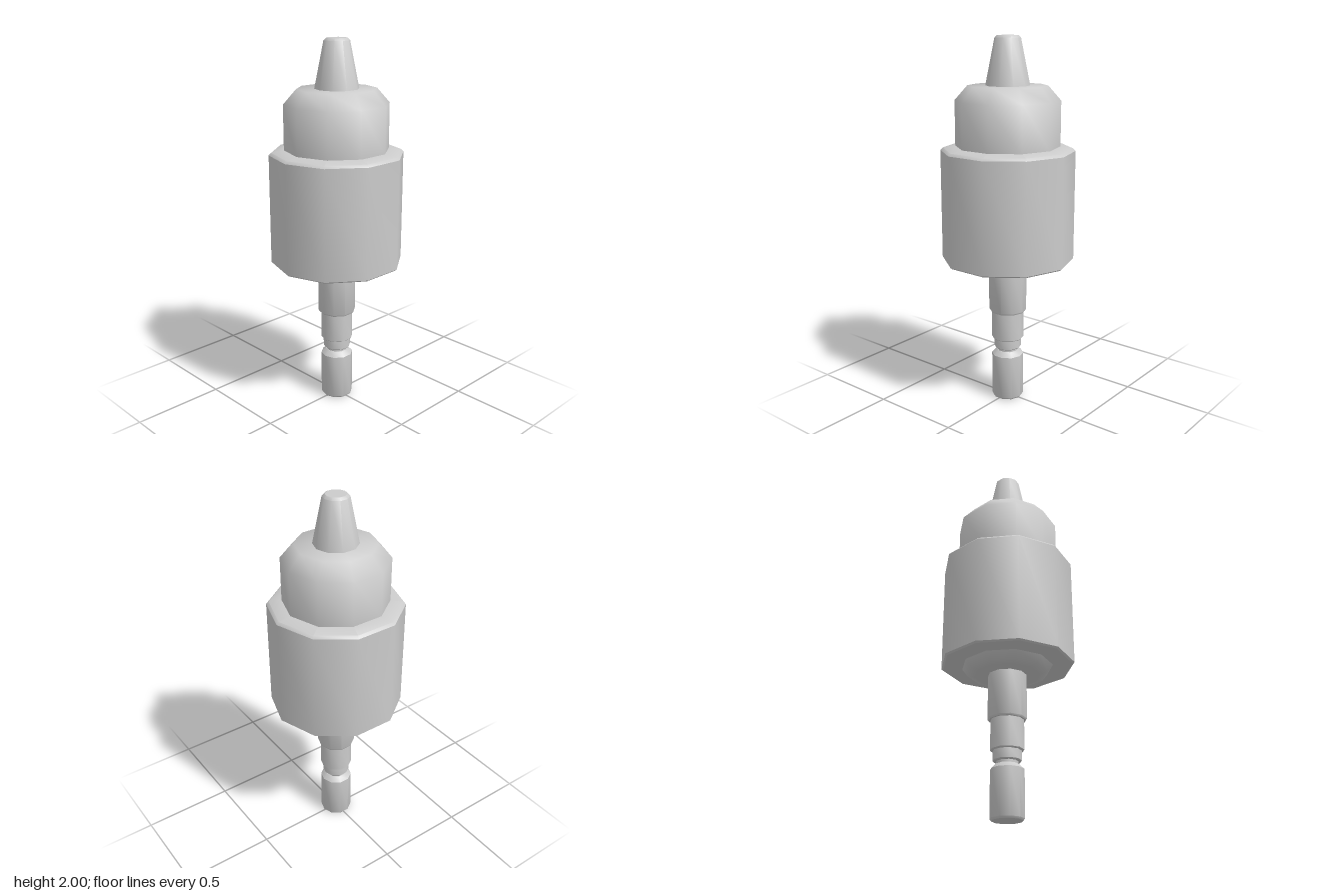
import * as THREE from 'three';
import { toCreasedNormals } from 'three/addons/utils/BufferGeometryUtils.js';

const SIDES = 10;
const material = new THREE.MeshStandardMaterial({ color: 0xcccccc });

// Ten-sided turned part from [radius, y] points listed bottom to top, a corner on the x axis
function turned(name, profile, crease = 0.68) {
  const points = profile.map(([r, y]) => new THREE.Vector2(r, y));
  const lathe = new THREE.LatheGeometry(points, SIDES, Math.PI / 2);
  const mesh = new THREE.Mesh(toCreasedNormals(lathe, crease), material);
  mesh.name = name;
  return mesh;
}

export function createModel() {
  const model = new THREE.Group();
  model.name = 'drillChuck';

  model.add(
    // Shank end with bevelled rims
    turned('shankTip', [[0, 0], [0.08, 0], [0.088, 0.01], [0.088, 0.255], [0.062, 0.28], [0, 0.28]]),
    // Locking groove and the small ring above it
    turned('grooveNeck', [[0, 0.27], [0.058, 0.27], [0.058, 0.3], [0, 0.3]]),
    turned('grooveRing', [[0, 0.295], [0.07, 0.295], [0.075, 0.3], [0.075, 0.35], [0, 0.35]]),
    // Stepped shank
    turned('middleShank', [[0, 0.35], [0.082, 0.35], [0.088, 0.355], [0.088, 0.515], [0, 0.515]]),
    turned('upperShank', [[0, 0.512], [0.098, 0.512], [0.103, 0.52], [0.103, 0.77], [0, 0.77]]),
    // Rounded hub under the sleeve
    turned('lowerHub', [[0, 0.76], [0.175, 0.76], [0.215, 0.772], [0.245, 0.812], [0, 0.812]], 1.1),
    // Wide grip sleeve
    turned('sleeve', [
      [0, 0.81], [0.348, 0.81], [0.358, 0.818], [0.358, 1.408], [0.345, 1.421], [0.275, 1.432], [0, 1.432],
    ]),
    // Upper body with a soft sloped shoulder
    turned('upperBody', [[0, 1.42], [0.278, 1.42], [0.278, 1.67], [0.21, 1.747], [0, 1.747]], 1.1),
    // Tapered jaws
    turned('jawCone', [[0, 1.74], [0.118, 1.74], [0.068, 1.988], [0.054, 2], [0, 2]]),
  );
  return model;
}
